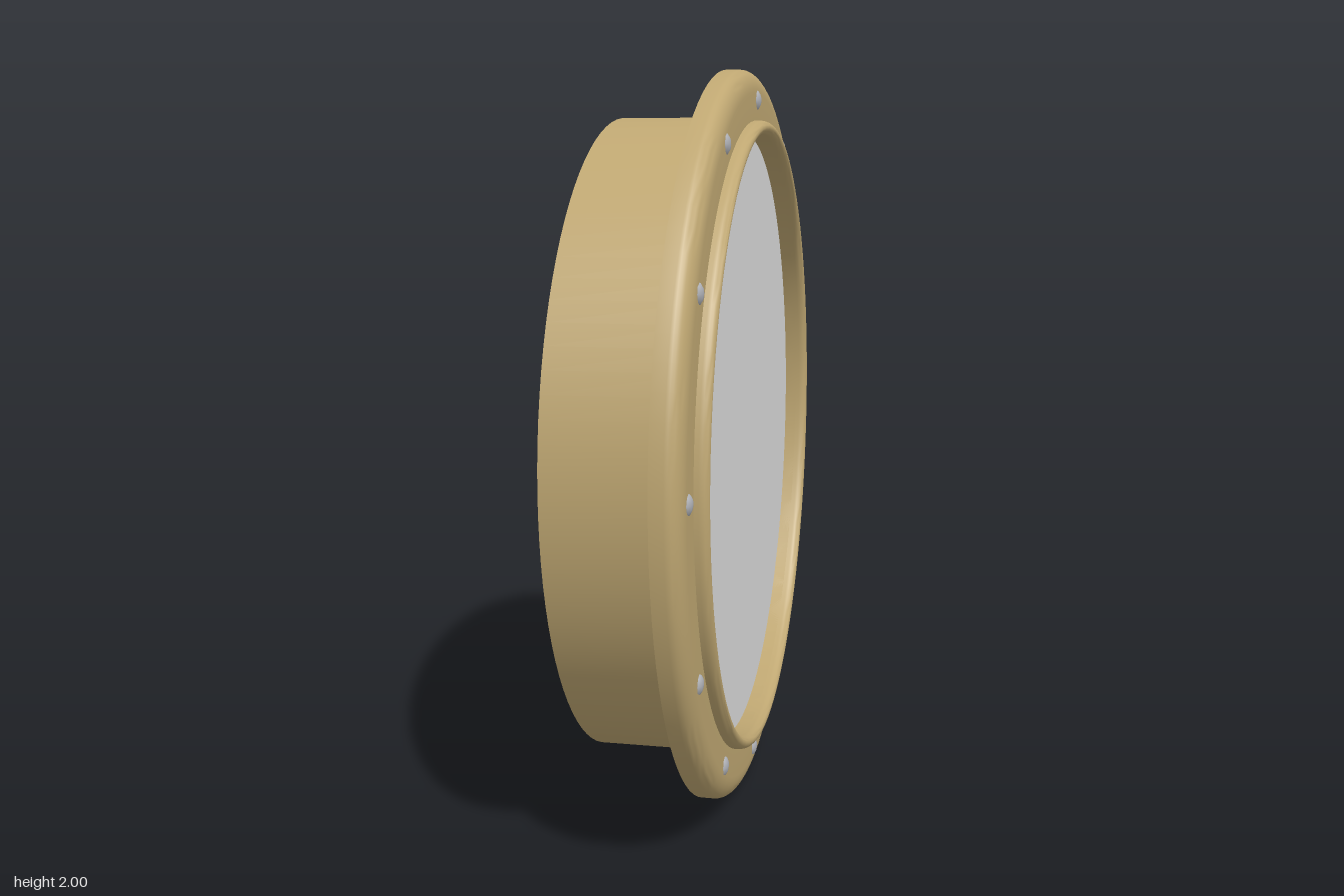
import * as THREE from 'three';
import { toCreasedNormals } from 'three/addons/utils/BufferGeometryUtils.js';

const brass = new THREE.MeshStandardMaterial({ name: 'brass', color: 0xbfa772 });
const brassSheet = new THREE.MeshStandardMaterial({ name: 'brassSheet', color: 0xbfa772, side: THREE.DoubleSide });
const steel = new THREE.MeshStandardMaterial({ name: 'steel', color: 0xb0b2b8 });
const pane = new THREE.MeshStandardMaterial({ name: 'pane', color: 0xdcdcdc });

// Turns a [radius, x] profile around the x axis
function turned(name, profile, material) {
  const points = profile.map(([r, x]) => new THREE.Vector2(r, x));
  const geometry = toCreasedNormals(new THREE.LatheGeometry(points, 96), 0.7);
  geometry.rotateZ(-Math.PI / 2);
  const mesh = new THREE.Mesh(geometry, material);
  mesh.name = name;
  return mesh;
}

// Quarter-ellipse profile points from angle a to angle b
function arc(r, x, rr, rx, a, b, steps = 6) {
  return Array.from({ length: steps + 1 }, (_, i) => {
    const t = a + (b - a) * i / steps;
    return [r + rr * Math.cos(t), x + rx * Math.sin(t)];
  });
}

export function createModel() {
  const model = new THREE.Group();
  model.name = 'porthole';
  const body = new THREE.Group();
  body.name = 'portholeBody';
  body.position.y = 1;
  model.add(body);

  // Wall sleeve
  body.add(turned('sleeve', [
    [0.83, -0.2], [0.875, -0.2], [0.875, 0.165], [0.83, 0.165], [0.83, -0.2],
  ], brass));

  // Flange: a shell, hollow at the back, with a rounded rim
  body.add(turned('flange', [
    [1, 0.09],
    ...arc(0.94, 0.125, 0.06, 0.04, 0, Math.PI / 2, 8),
    [0.872, 0.165],
  ], brassSheet));

  // Raised bead around the glass
  body.add(turned('glassBead', [
    [0.83, 0.13], [0.866, 0.13],
    ...arc(0.848, 0.176, 0.018, 0.024, 0, Math.PI, 10),
    [0.83, 0.13],
  ], brass));

  // Twelve-sided pane, its corners reaching through the sleeve
  const glassGeometry = new THREE.CylinderGeometry(0.893, 0.893, 0.04, 12, 1, false, Math.PI / 12);
  glassGeometry.rotateZ(-Math.PI / 2);
  const glass = new THREE.Mesh(toCreasedNormals(glassGeometry, 0.3), pane);
  glass.name = 'glass';
  glass.position.x = 0.112;
  body.add(glass);

  // Ring of domed bolts
  const boltGeometry = new THREE.SphereGeometry(0.028, 8, 6);
  boltGeometry.rotateZ(-Math.PI / 2);
  for (let i = 0; i < 12; i++) {
    const a = i * Math.PI / 6;
    const bolt = new THREE.Mesh(boltGeometry, steel);
    bolt.name = 'bolt';
    bolt.scale.x = 0.55;
    bolt.position.set(0.16, 0.92 * Math.cos(a), 0.92 * Math.sin(a));
    body.add(bolt);
  }
  return model;
}
